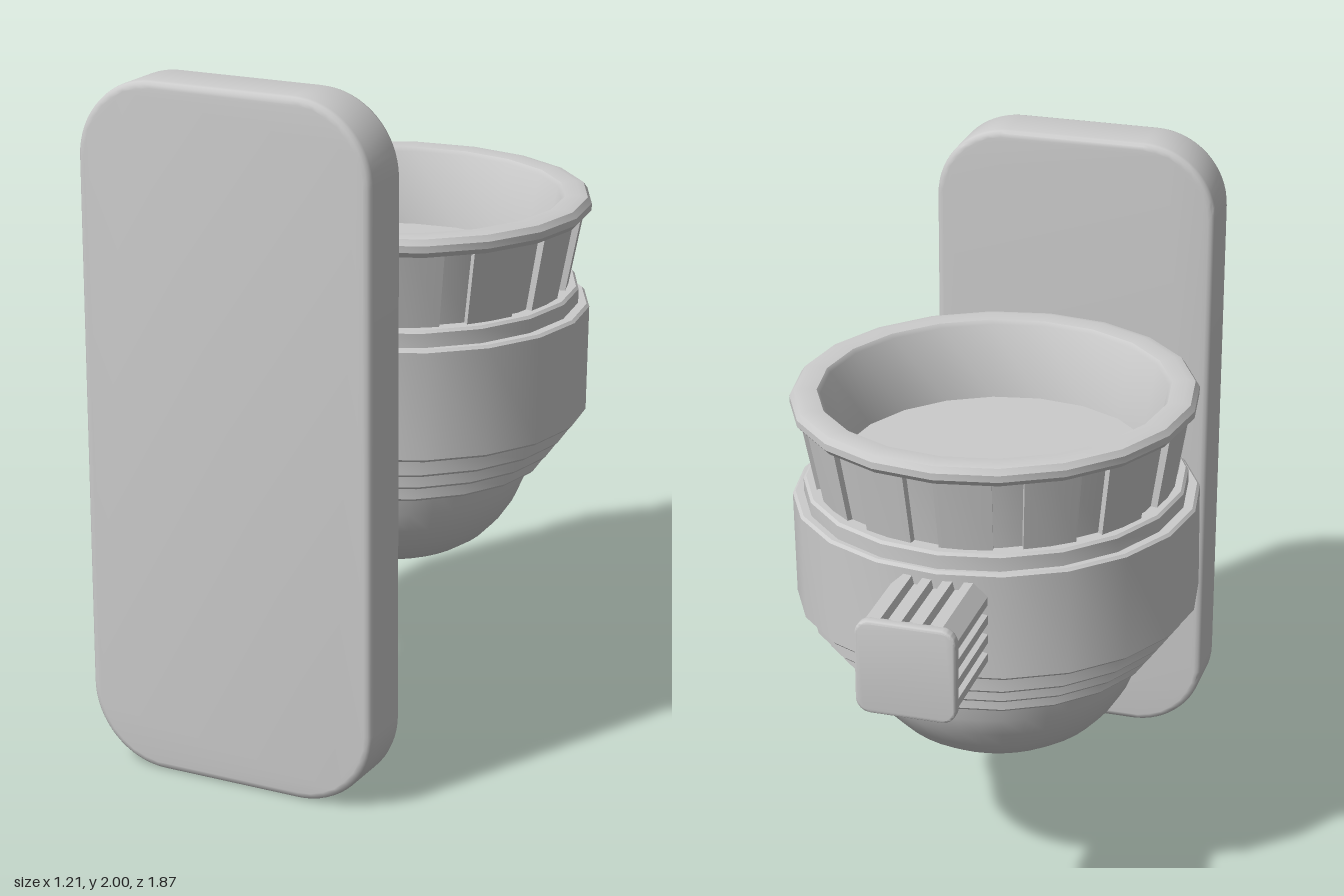
import * as THREE from 'three';
import { toCreasedNormals } from 'three/addons/utils/BufferGeometryUtils.js';

const SIDES = 20;
const material = new THREE.MeshStandardMaterial({ color: 0xcccccc });

function addPart(parent, name, geometry, crease = 0.6) {
  const mesh = new THREE.Mesh(toCreasedNormals(geometry, crease), material);
  mesh.name = name;
  parent.add(mesh);
  return mesh;
}

// Turned part from [radius, height] pairs listed from bottom to top on the outside
function turned(points, sides = SIDES) {
  return new THREE.LatheGeometry(points.map(([r, y]) => new THREE.Vector2(r, y)), sides);
}

// Ring with a small chamfer at its lower and upper edge
function collar(radius, bottom, top) {
  const c = 0.008;
  return turned([[0, bottom], [radius - c, bottom], [radius, bottom + c],
    [radius, top - c], [radius - c, top], [0, top]]);
}

function roundedRect(w, h, r) {
  const s = new THREE.Shape();
  s.moveTo(w - r, -h);
  s.absarc(w - r, -h + r, r, -Math.PI / 2, 0);
  s.absarc(w - r, h - r, r, 0, Math.PI / 2);
  s.absarc(-w + r, h - r, r, Math.PI / 2, Math.PI);
  s.absarc(-w + r, -h + r, r, Math.PI, Math.PI * 1.5);
  s.closePath();
  return s;
}

// Rounded slab from z0 to z1 with softened edges
function slab(w, h, r, z0, z1, bevel) {
  const geometry = new THREE.ExtrudeGeometry(roundedRect(w - bevel, h - bevel, r), {
    depth: z1 - z0 - 2 * bevel, bevelThickness: bevel, bevelSize: bevel,
    bevelSegments: 3, curveSegments: 8,
  });
  return geometry.translate(0, 0, z0 + bevel);
}

// Square bar section with chamfered corners and three grooves on each side
function flutedSection(half) {
  const points = [];
  const depth = 0.025;
  for (let side = 0; side < 4; side++) {
    const a = side * Math.PI / 2;
    const put = (u, v) => points.push(new THREE.Vector2(
      u * Math.cos(a) - v * Math.sin(a), u * Math.sin(a) + v * Math.cos(a)));
    put(half, -half + 0.04);
    for (const v of [-0.06, 0, 0.06]) {
      put(half, v - 0.016);
      put(half - depth, v - 0.01);
      put(half - depth, v + 0.01);
      put(half, v + 0.016);
    }
    put(half, half - 0.04);
  }
  return new THREE.Shape(points);
}

// Raised panel lying on the flared wall, centred on the given angle
function flaredPanel(angle, width) {
  const geometry = new THREE.CylinderGeometry(0.572, 0.532, 0.225, 2, 1, true, angle - width / 2, width);
  const pos = geometry.attributes.position;
  const inner = geometry.clone();
  const ip = inner.attributes.position;
  for (let i = 0; i < pos.count; i++) ip.setXYZ(i, pos.getX(i) * 0.95, pos.getY(i), pos.getZ(i) * 0.95);
  // Close the two upright edges between outer skin and wall
  const vertices = [];
  const corner = (p, i) => [p.getX(i), p.getY(i), p.getZ(i)];
  const quad = (a, b, c, d) => vertices.push(...a, ...b, ...c, ...a, ...c, ...d);
  for (let i = 0; i < 2; i++) {
    quad(corner(pos, i), corner(pos, i + 3), corner(pos, i + 4), corner(pos, i + 1));
  }
  quad(corner(ip, 0), corner(ip, 3), corner(pos, 3), corner(pos, 0));
  quad(corner(pos, 2), corner(pos, 5), corner(ip, 5), corner(ip, 2));
  const panel = new THREE.BufferGeometry();
  panel.setAttribute('position', new THREE.Float32BufferAttribute(vertices, 3));
  panel.computeVertexNormals();
  return panel.translate(0, 1.35, 0);
}

export function createModel() {
  const model = new THREE.Group();
  model.name = 'model';

  // Tall front plate
  const plate = addPart(model, 'frontPlate', slab(0.445, 1, 0.21, 0.75, 0.935, 0.02));
  plate.position.y = 1;

  // Fluted axle through the bowl, closed by a cap at the back
  const axle = addPart(model, 'flutedAxle', new THREE.ExtrudeGeometry(flutedSection(0.142),
    { depth: 1.67, bevelEnabled: false }).translate(0, 0, -0.91), 0.3);
  axle.position.y = 1.02;
  const cap = addPart(model, 'axleCap', slab(0.145, 0.142, 0.035, -0.935, -0.9, 0.008));
  cap.position.y = 1.02;

  // Bowl, leaning very slightly to one side
  const pivot = new THREE.Group();
  pivot.name = 'bowl';
  pivot.position.set(0, 1, -0.065);
  pivot.rotation.z = -0.016;
  model.add(pivot);
  const bowl = new THREE.Group();
  bowl.name = 'bowlParts';
  bowl.position.y = -1;
  pivot.add(bowl);

  // Domed underside
  addPart(bowl, 'dome', turned([[0, 0.43], [0.235, 0.43], [0.26, 0.436], [0.31, 0.468],
    [0.355, 0.515], [0.395, 0.575], [0.42, 0.635], [0.435, 0.71], [0, 0.71]], 40));

  // Stepped rings, wide band and upper collar
  [[0.485, 0.7, 0.755], [0.523, 0.75, 0.81], [0.56, 0.8, 0.86]].forEach(([r, y0, y1], i) =>
    addPart(bowl, `stepRing${i + 1}`, collar(r, y0, y1)));
  const band = addPart(bowl, 'wideBand', collar(0.583, 0.855, 1.19));
  band.scale.x = 1.03;
  addPart(bowl, 'upperCollar', collar(0.565, 1.18, 1.24));

  // Flared cup with rolled rim, tapering inside and floor
  addPart(bowl, 'flaredCup', turned([[0.515, 1.23], [0.555, 1.46], [0.58, 1.458], [0.595, 1.475],
    [0.595, 1.495], [0.583, 1.512], [0.56, 1.517], [0.515, 1.512], [0.505, 1.5], [0.46, 1.28], [0, 1.28]]));

  // Raised panels around the cup
  const count = 14;
  for (let i = 0; i < count; i++) {
    addPart(bowl, 'cupPanel', flaredPanel((i + 0.3) / count * Math.PI * 2, 0.29));
  }
  return model;
}
